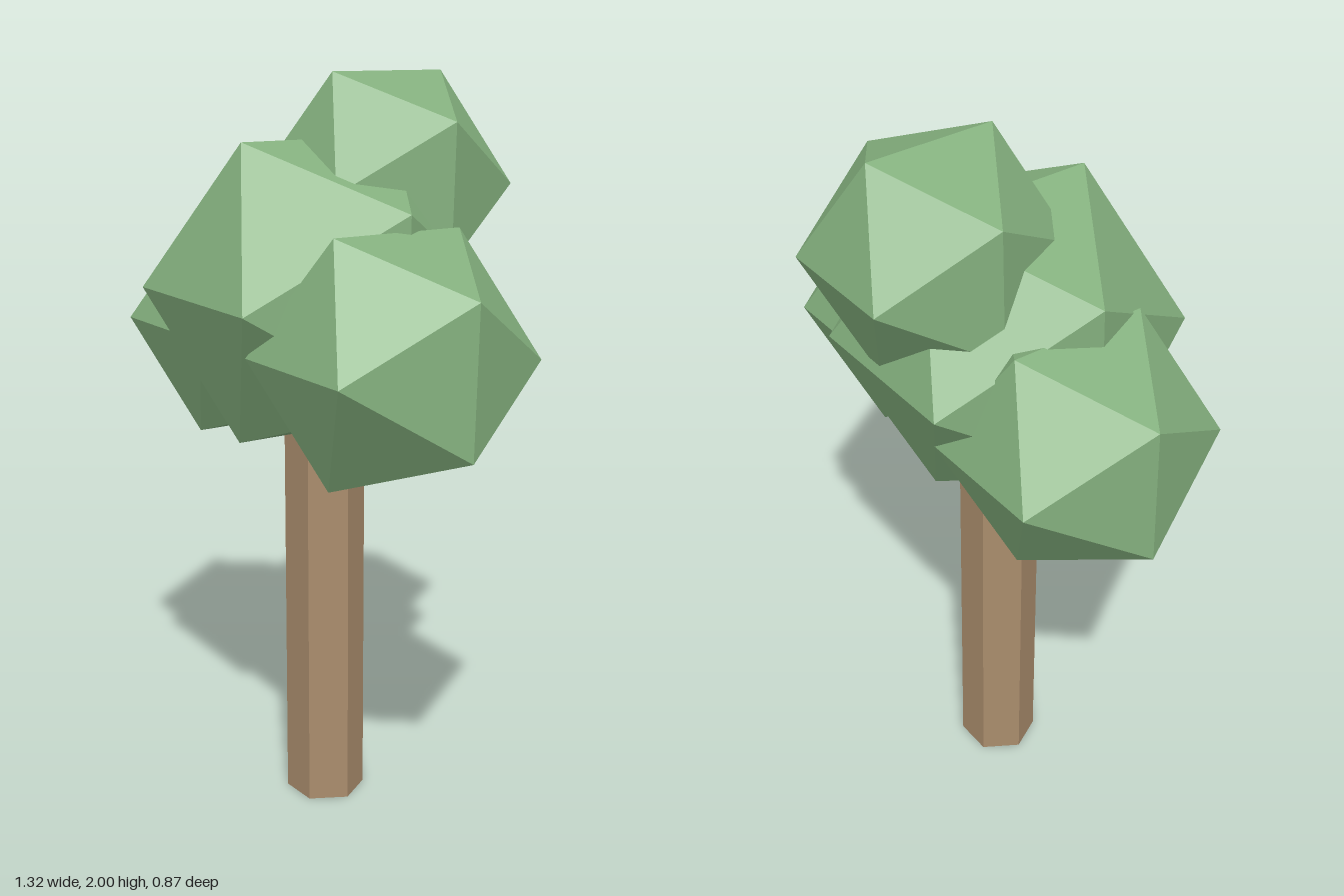
import * as THREE from 'three';

export function createModel() {
  const tree = new THREE.Group();
  tree.name = 'tree';

  const leafGreen = new THREE.MeshStandardMaterial({ color: 0x84b07e, flatShading: true });
  leafGreen.name = 'leafGreen';
  const barkBrown = new THREE.MeshStandardMaterial({ color: 0xa98c6c, flatShading: true });
  barkBrown.name = 'barkBrown';

  // Six-sided trunk with two corners on the x axis
  const trunkHeight = 1.065;
  const trunk = new THREE.Mesh(
    new THREE.CylinderGeometry(0.108, 0.108, trunkHeight, 6).rotateY(Math.PI / 6),
    barkBrown
  );
  trunk.name = 'trunk';
  trunk.position.set(-0.008, trunkHeight / 2, 0.035);
  tree.add(trunk);

  // Foliage clumps: name, radius, centre
  const clumps = [
    ['frontFoliage', 0.456, [-0.027, 1.443, 0.045]],
    ['rightFoliage', 0.356, [-0.359, 1.302, 0.017]],
    ['leftFoliage', 0.367, [0.347, 1.329, 0.077]],
    ['topFoliage', 0.336, [0.01, 1.711, -0.148]],
  ];
  for (const [name, radius, centre] of clumps) {
    const geometry = new THREE.IcosahedronGeometry(radius, 0)
      .rotateY(Math.PI / 2)
      .rotateX(-0.025); // slight backward lean
    const clump = new THREE.Mesh(geometry, leafGreen);
    clump.name = name;
    clump.position.set(...centre);
    tree.add(clump);
  }

  return tree;
}
